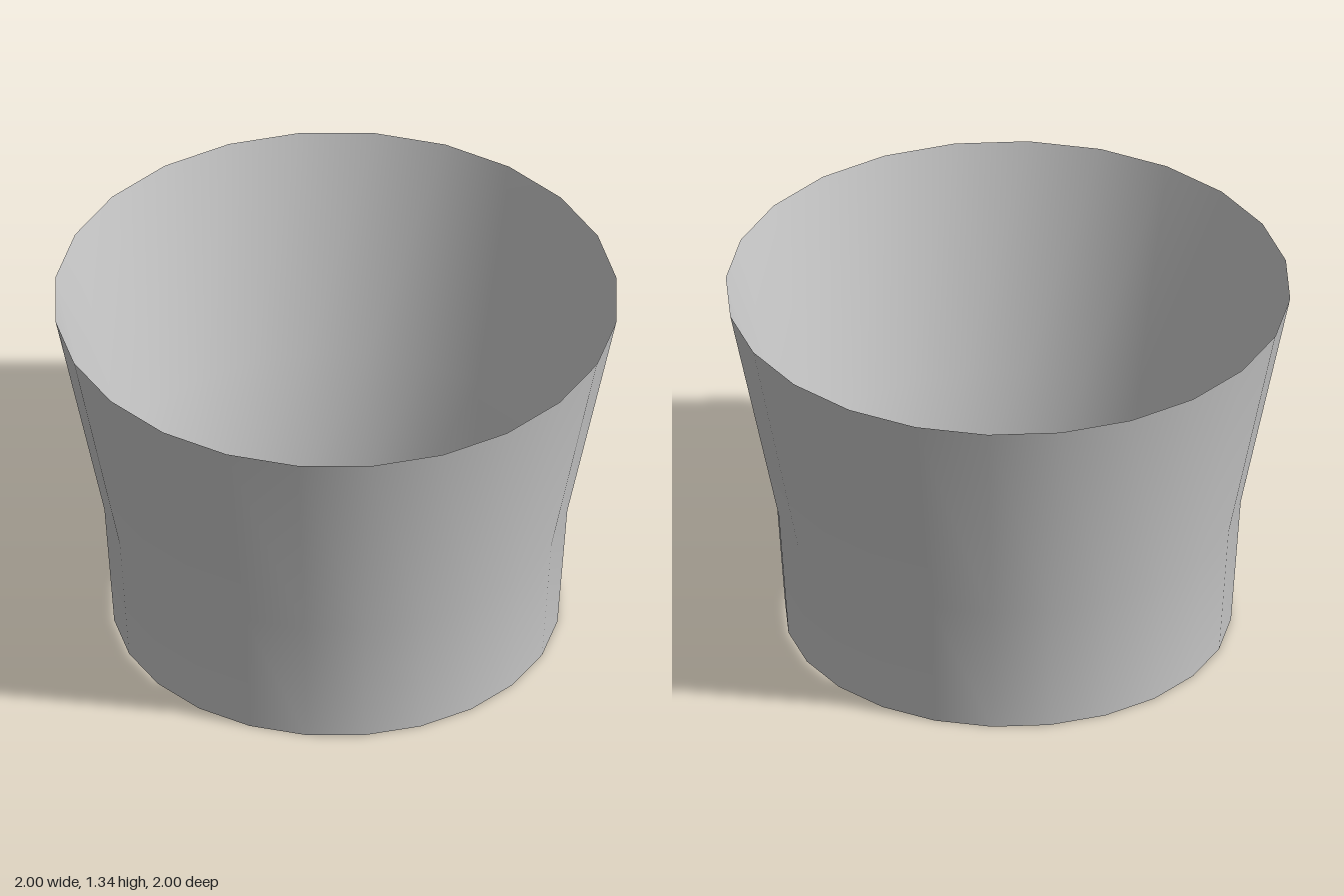
import * as THREE from 'three';

export function createModel() {
  const group = new THREE.Group();

  // Thin flared sleeve, open at both ends: near-straight collar below, wide flare above
  const profile = [[0.79, 0], [0.825, 0.49], [1, 1.335]].map(([r, y]) => new THREE.Vector2(r, y));
  const sleeve = new THREE.Mesh(
    new THREE.LatheGeometry(profile, 24),
    new THREE.MeshStandardMaterial({ color: 0xcccccc, side: THREE.DoubleSide })
  );
  sleeve.name = 'flaredSleeve';
  group.add(sleeve);

  return group;
}
